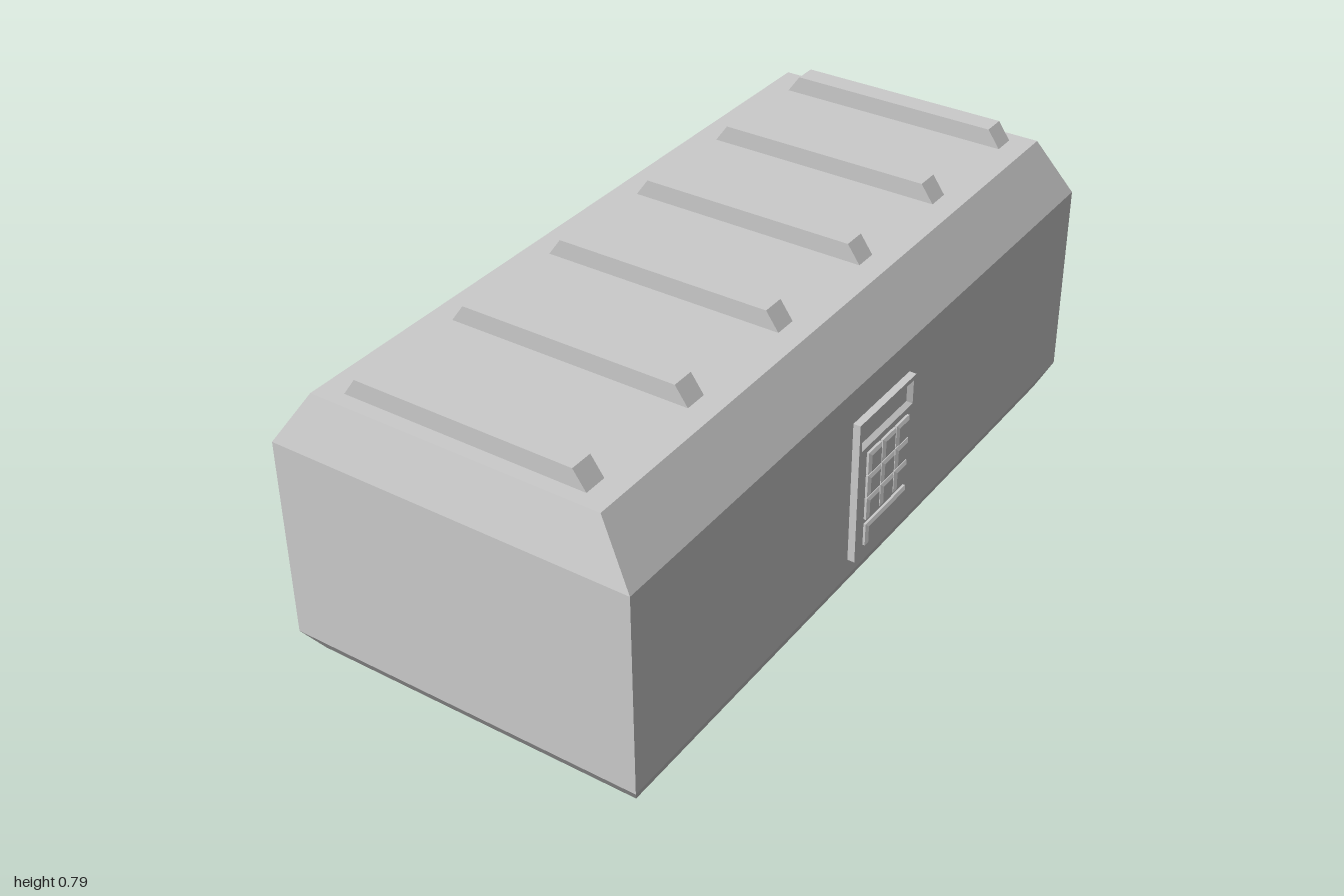
import * as THREE from 'three';

const grey = new THREE.MeshStandardMaterial({ color: 0xcccccc, flatShading: true });

// Flat-sided loft through rectangles [y, half x, half z]; descending y gives an inward-facing pocket
function loft(sections, closedStart = true) {
  const rings = sections.map(([y, hx, hz]) =>
    [[1, 1], [1, -1], [-1, -1], [-1, 1]].map(([sx, sz]) => [sx * hx, y, sz * hz]));
  const positions = [];
  const quad = (a, b, c, d) => positions.push(...a, ...b, ...c, ...a, ...c, ...d);
  for (let i = 0; i < rings.length - 1; i++) {
    const lower = rings[i], upper = rings[i + 1];
    for (let k = 0; k < 4; k++) {
      const n = (k + 1) % 4;
      quad(lower[k], lower[n], upper[n], upper[k]);
    }
  }
  quad(...rings[rings.length - 1]);
  if (closedStart) quad(...[...rings[0]].reverse());
  const geometry = new THREE.BufferGeometry();
  geometry.setAttribute('position', new THREE.Float32BufferAttribute(positions, 3));
  geometry.computeVertexNormals();
  return geometry;
}

function add(parent, name, geometry, x, y, z) {
  const mesh = new THREE.Mesh(geometry, grey);
  mesh.name = name;
  mesh.position.set(x, y, z);
  parent.add(mesh);
  return mesh;
}

function rectangle(PathType, y0, y1, halfWidth) {
  return new PathType([[-halfWidth, y0], [halfWidth, y0], [halfWidth, y1], [-halfWidth, y1]]
    .map(([x, y]) => new THREE.Vector2(x, y)));
}

function createKeypad() {
  const keypad = new THREE.Group();
  keypad.name = 'keypad';
  const baseX = 0.461, faceX = 0.48;

  // Back plate with the display opening
  const outline = rectangle(THREE.Shape, 0.118, 0.51, 0.131);
  outline.holes.push(rectangle(THREE.Path, 0.432, 0.498, 0.12));
  const plate = new THREE.ExtrudeGeometry(outline, { depth: faceX - baseX, bevelEnabled: false });
  plate.rotateY(Math.PI / 2);
  add(keypad, 'keypadPlate', plate, baseX, 0, 0);

  // Recessed display with sloping walls
  const display = loft([[0, 0.033, 0.12], [-0.012, 0.025, 0.11]], false);
  add(keypad, 'display', display, faceX, 0.465, 0).rotation.z = -Math.PI / 2;

  // Chamfered keys standing out from the plate
  const key = (halfWidth) => loft([
    [0, 0.031, halfWidth], [0.006, 0.031, halfWidth], [0.011, 0.023, halfWidth - 0.008],
  ]);
  const smallKey = key(0.03);
  for (let row = 0; row < 3; row++) {
    for (let column = -1; column <= 1; column++) {
      add(keypad, 'key', smallKey, faceX, 0.385 - row * 0.065, column * 0.065).rotation.z = -Math.PI / 2;
    }
  }
  add(keypad, 'wideKey', key(0.095), faceX, 0.179, 0).rotation.z = -Math.PI / 2;
  return keypad;
}

export function createModel() {
  const model = new THREE.Group();
  model.name = 'crate';
  const centreX = -0.015;

  // Body with chamfered base and lid
  add(model, 'body', loft([
    [0, 0.443, 0.955], [0.067, 0.476, 1], [0.6, 0.476, 1], [0.74, 0.381, 0.96],
  ]), centreX, 0, 0);

  // Six ribs across the lid
  const rib = loft([[0, 0.319, 0.03], [0.047, 0.286, 0.03]]);
  for (let i = 0; i < 6; i++) add(model, 'lidRib', rib, centreX, 0.74, (i - 2.5) * 0.357);

  model.add(createKeypad());
  return model;
}
